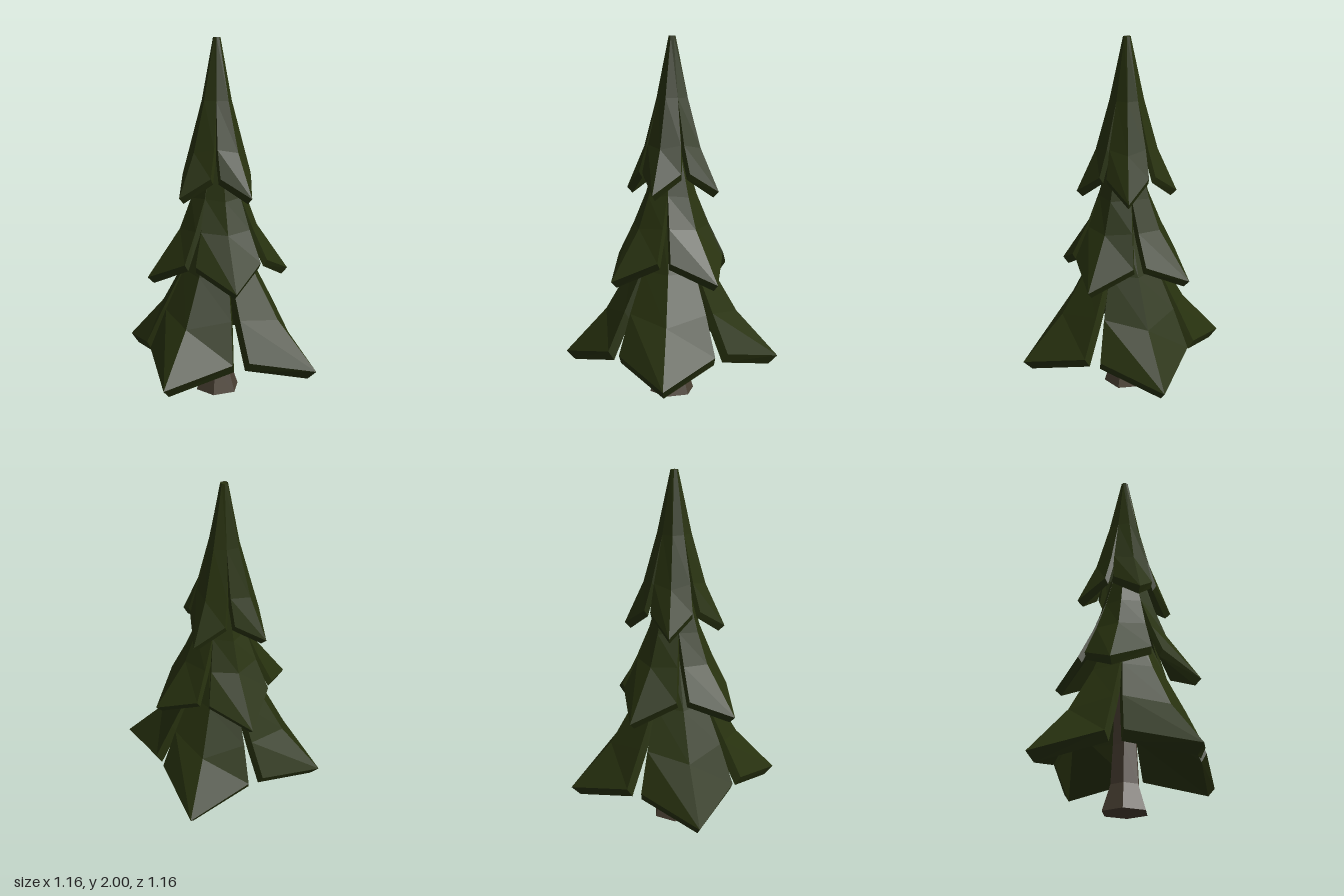
import * as THREE from 'three';

const needles = new THREE.MeshStandardMaterial({ color: 0x28320f });
needles.name = 'dark green needles';
const bark = new THREE.MeshStandardMaterial({ color: 0x4a4033 });
bark.name = 'brown bark';

// Each level, from tip to top: ridge radius, ridge height,
// edge radius, edge half width, edge height, slab thickness
const tiers = [
  { name: 'lowerBranch', angle: -17, x: 0, levels: [
    [0.605, 0.22, 0.324, 0.258, 0.31, 0.05],
    [0.37, 0.48, 0.24, 0.205, 0.52, 0.05],
    [0.225, 0.73, 0.15, 0.14, 0.74, 0.045],
    [0.08, 1.05, 0.06, 0.06, 1.05, 0.03]] },
  { name: 'middleBranch', angle: 31.5, x: 0, levels: [
    [0.405, 0.7, 0.23, 0.18, 0.81, 0.035],
    [0.22, 0.97, 0.16, 0.135, 0.98, 0.035],
    [0.155, 1.14, 0.1, 0.098, 1.15, 0.03],
    [0.07, 1.42, 0.045, 0.045, 1.42, 0.02]] },
  { name: 'upperBranch', angle: 1.5, x: -0.015, levels: [
    [0.275, 1.165, 0.15, 0.113, 1.27, 0.032],
    [0.168, 1.4, 0.11, 0.097, 1.42, 0.032],
    [0.092, 1.67, 0.057, 0.057, 1.67, 0.025],
    [0.02, 2.0, 0.014, 0.014, 2.0, 0.012]] },
];

// A folded slab pointing along +x, lofted through chevron cross-sections
function branchGeometry(levels) {
  const points = [];
  for (const [r, y, er, w, ey, t] of levels) {
    points.push(
      er, ey, -w, r, y, 0, er, ey, w,
      er - t * 0.6, ey - t, w * 0.97, r - t, y - t, 0, er - t * 0.6, ey - t, -w * 0.97);
  }
  const index = [];
  for (let i = 0; i < levels.length - 1; i++) {
    for (let j = 0; j < 6; j++) {
      const a = i * 6 + j, b = i * 6 + (j + 1) % 6;
      index.push(a, b + 6, b, a, a + 6, b + 6);
    }
  }
  // End caps
  const cap = [0, 1, 4, 0, 4, 5, 1, 2, 3, 1, 3, 4];
  const last = (levels.length - 1) * 6;
  index.push(...cap, ...cap.map((k) => last + k).reverse());

  const geometry = new THREE.BufferGeometry();
  geometry.setAttribute('position', new THREE.Float32BufferAttribute(points, 3));
  geometry.setIndex(index);
  return faceted(geometry);
}

// Gives every triangle its own flat normal
function faceted(geometry) {
  const flat = geometry.toNonIndexed();
  flat.computeVertexNormals();
  return flat;
}

export function createModel() {
  const tree = new THREE.Group();
  tree.name = 'pineTree';

  // Six-sided trunk with a flared foot
  const profile = [[0, 0], [0.128, 0], [0.082, 0.14], [0.07, 0.35], [0.05, 1.0], [0, 1.0]]
    .map(([x, y]) => new THREE.Vector2(x, y));
  const trunk = new THREE.Mesh(faceted(new THREE.LatheGeometry(profile, 6)), bark);
  trunk.name = 'trunk';
  trunk.rotation.y = THREE.MathUtils.degToRad(36);
  trunk.position.x = -0.012;
  tree.add(trunk);

  // Three tiers of four drooping branches
  for (const { name, angle, x, levels } of tiers) {
    const geometry = branchGeometry(levels);
    for (let i = 0; i < 4; i++) {
      const branch = new THREE.Mesh(geometry, needles);
      branch.name = name + (i + 1);
      branch.rotation.y = -THREE.MathUtils.degToRad(angle + i * 90);
      branch.position.x = x;
      tree.add(branch);
    }
  }

  // Small plug closing the peak
  const peak = new THREE.Mesh(faceted(new THREE.CylinderGeometry(0.015, 0.03, 0.1, 8)), needles);
  peak.name = 'peak';
  peak.position.set(-0.015, 1.949, 0);
  tree.add(peak);

  return tree;
}
